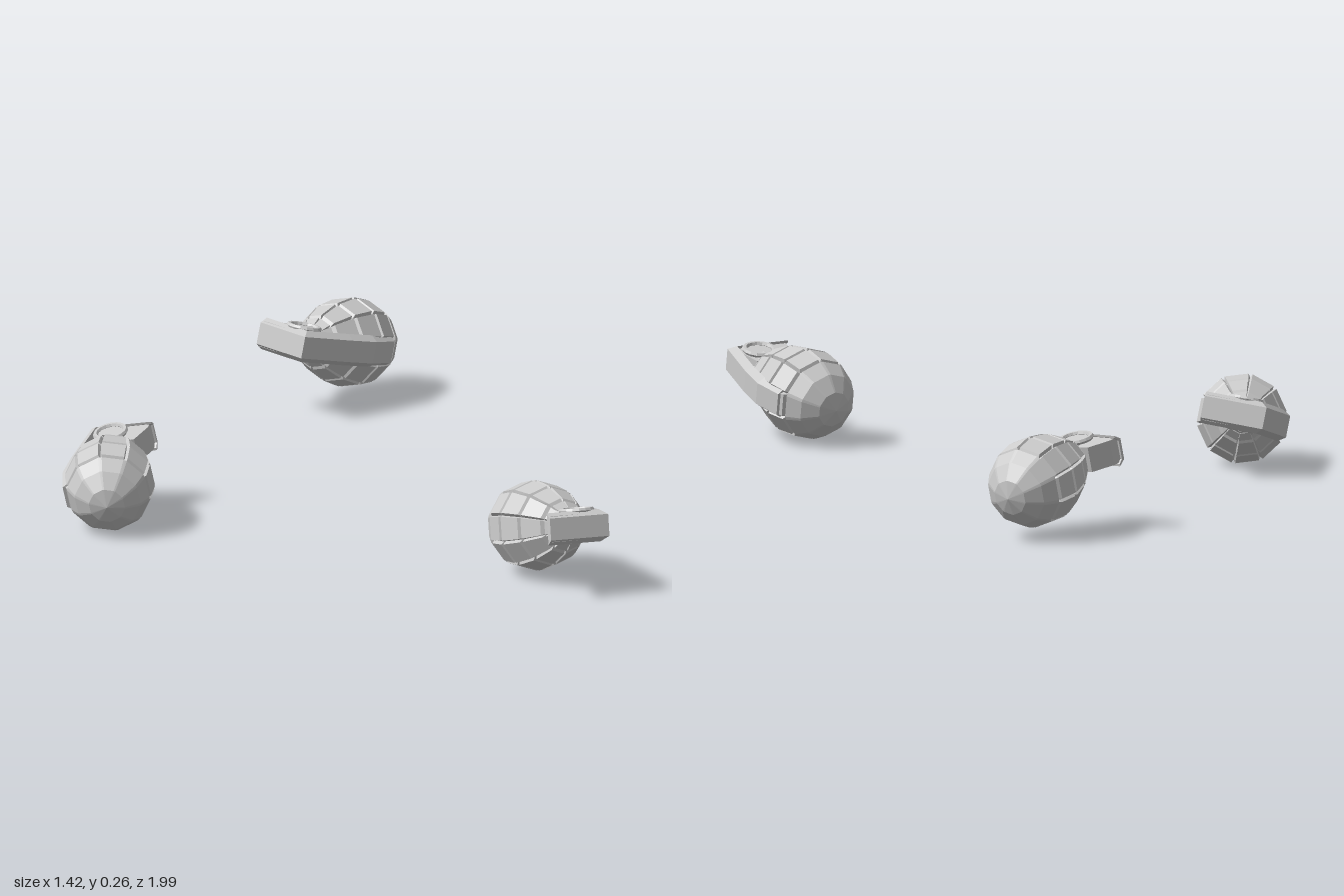
import * as THREE from 'three';

const material = new THREE.MeshStandardMaterial({ color: 0xcccccc, flatShading: true });

// Skin closed cross-section loops; optional caps join the two halves of each end loop
function loft(rows, caps = false) {
  const n = rows[0].length, index = [];
  const quad = (a, b, c, d) => index.push(a, b, d, b, c, d);
  for (let i = 0; i < rows.length - 1; i++) {
    for (let j = 0; j < n; j++) {
      const k = (j + 1) % n;
      quad(i * n + j, i * n + k, (i + 1) * n + k, (i + 1) * n + j);
    }
  }
  if (caps) {
    const e = (rows.length - 1) * n;
    for (let j = 0; j < n / 2 - 1; j++) {
      quad(n - 1 - j, n - 2 - j, j + 1, j);
      quad(e + j, e + j + 1, e + n - 2 - j, e + n - 1 - j);
    }
  }
  const g = new THREE.BufferGeometry();
  g.setAttribute('position', new THREE.Float32BufferAttribute(rows.flat(2), 3));
  g.setIndex(index);
  const flat = g.toNonIndexed();
  flat.computeVertexNormals();
  return flat;
}

// Ten-sided egg with cross grooves and lengthwise grooves above a plain cap
function bodyGeometry() {
  const sides = 10, depth = 0.009, half = 0.005;
  const profile = [[0, 0], [0.012, 0.046], [0.042, 0.084], [0.085, 0.108], [0.148, 0.116],
    [0.217, 0.1], [0.28, 0.068], [0.305, 0.046]];
  const radiusAt = (y) => {
    const i = Math.max(1, profile.findIndex((p) => p[0] >= y));
    const [y0, r0] = profile[i - 1], [y1, r1] = profile[i];
    return r0 + (r1 - r0) * (y - y0) / (y1 - y0);
  };
  const levels = profile.slice(0, 3).map(([y, r]) => [y, r, 0]);
  for (const y of [0.085, 0.148, 0.217, 0.28]) {
    levels.push([y - half, radiusAt(y - half), y < 0.1 ? 0 : depth]);
    levels.push([y, radiusAt(y) - depth, 0]);
    levels.push([y + half, radiusAt(y + half), depth]);
  }
  levels.push([0.305, 0.046, 0], [0.305, 0, 0]);
  return loft(levels.map(([y, r, cut]) => {
    const ring = [];
    for (let s = 0; s < sides; s++) {
      for (const k of [-1, 0, 1]) {
        const a = (s + 0.5) / sides * Math.PI * 2 + k * 0.045;
        const rr = Math.max(0, r - (k === 0 ? cut : 0));
        ring.push([rr * Math.cos(a), y, -rr * Math.sin(a)]);
      }
    }
    return ring;
  }));
}

// Folded channel that covers the head and bends down along the body
function leverGeometry() {
  const path = [[-0.106, 0.387], [0.054, 0.41], [0.1, 0.265], [0.119, 0.185], [0.114, 0.1]]
    .map(([x, y]) => new THREE.Vector2(x, y));
  const section = [[-0.041, -0.02], [-0.028, 0], [0.028, 0], [0.041, -0.02],
    [0.035, -0.02], [0.025, -0.008], [-0.025, -0.008], [-0.035, -0.02]];
  const normal = (a, b) => new THREE.Vector2(a.y - b.y, b.x - a.x).normalize();
  return loft(path.map((p, i) => {
    const before = normal(path[Math.max(0, i - 1)], path[Math.max(1, i)]);
    const after = normal(path[Math.min(i, path.length - 2)], path[Math.min(i + 1, path.length - 1)]);
    const n = before.clone().add(after).normalize();
    const miter = 1 / n.dot(after);
    return section.map(([w, o]) => [p.x + n.x * o * miter, p.y + n.y * o * miter, w]);
  }), true);
}

function headGeometry() {
  const shape = new THREE.Shape([[-0.1, 0.382], [-0.095, 0.355], [-0.062, 0.3], [0.04, 0.3],
    [0.048, 0.4]].map(([x, y]) => new THREE.Vector2(x, y)));
  return new THREE.ExtrudeGeometry(shape, { depth: 0.066, bevelEnabled: false }).translate(0, 0, -0.033);
}

const parts = {
  body: bodyGeometry(),
  neck: new THREE.CylinderGeometry(0.042, 0.046, 0.04, 10).translate(0, 0.31, 0),
  head: headGeometry(),
  lever: leverGeometry(),
  pullRing: new THREE.TorusGeometry(0.039, 0.007, 6, 16).translate(0, 0.345, -0.041),
  pin: new THREE.CylinderGeometry(0.035, 0.035, 0.08, 12).rotateX(Math.PI / 2).translate(0, 0.345, 0),
};

// Lay one copy down: centre of the body, axis towards the head, direction of the lever
function grenade(name, centre, axis, leverSide) {
  const group = new THREE.Group();
  group.name = name;
  for (const [part, geometry] of Object.entries(parts)) {
    const mesh = new THREE.Mesh(geometry, material);
    mesh.name = part;
    group.add(mesh);
  }
  const u = new THREE.Vector3(...axis).normalize();
  const z = new THREE.Vector3(...leverSide).cross(u).normalize();
  const l = new THREE.Vector3().crossVectors(u, z);
  group.quaternion.setFromRotationMatrix(new THREE.Matrix4().makeBasis(l, u, z));
  group.position.set(...centre).addScaledVector(u, -0.15);
  return group;
}

export function createModel() {
  const model = new THREE.Group();
  model.name = 'grenades';
  model.add(
    grenade('rightGrenade', [-0.587, 0.117, 0.347], [0, 0.19, -0.98], [-0.98, -0.2, 0]),
    grenade('backGrenade', [-0.05, 0.147, -0.86], [-0.55, 0.22, 0.83], [0.83, -0.07, 0.55]),
    grenade('leftGrenade', [0.523, 0.13, 0.74], [0.57, 0.23, 0.81], [0.81, -0.07, -0.57]),
  );
  return model;
}
